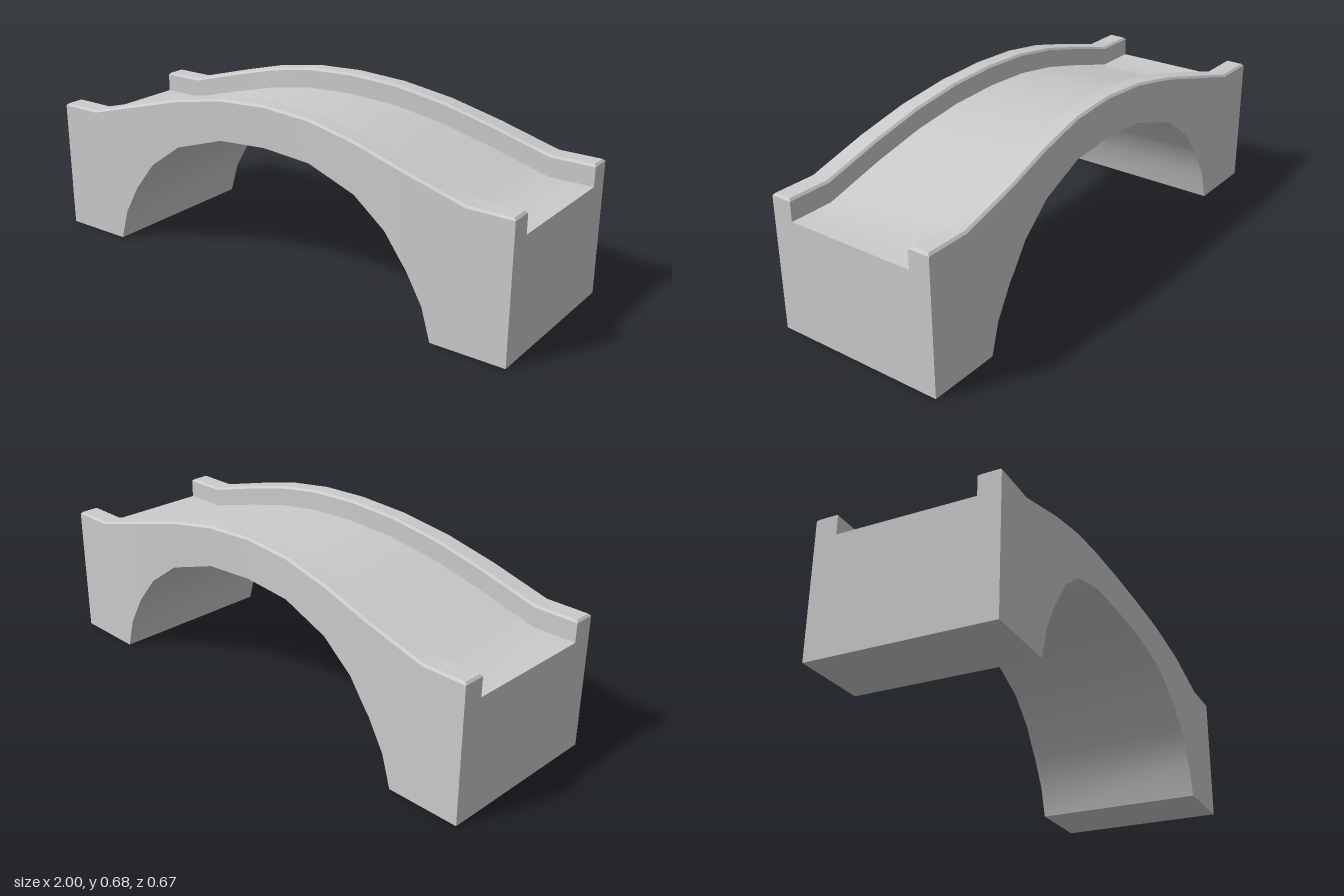
import * as THREE from 'three';
import { toCreasedNormals } from 'three/addons/utils/BufferGeometryUtils.js';

// Half profiles along the span: [distance from centre, value]
const RAIL_TOP = [[0, 0.676], [0.2, 0.665], [0.4, 0.63], [0.6, 0.577], [0.83, 0.513], [1, 0.513]];
const ARCH = [[0, 0.52], [0.2, 0.508], [0.4, 0.445], [0.53, 0.35], [0.62, 0.235], [0.685, 0.12], [0.72, 0], [1, 0]];
const OUTER = [[0, 0.302], [0.2, 0.307], [0.4, 0.322], [0.6, 0.335], [1, 0.335]];
const INNER = [[0, 0.23], [0.2, 0.234], [0.4, 0.244], [0.6, 0.253], [1, 0.253]];
const BEVEL = 0.008, RAIL_HEIGHT = 0.08;

function sample(table, x) {
  const d = Math.abs(x);
  for (let i = 1; i < table.length; i++) {
    const [x0, v0] = table[i - 1], [x1, v1] = table[i];
    if (d <= x1) return v0 + (v1 - v0) * (d - x0) / (x1 - x0);
  }
  return table[table.length - 1][1];
}

// One side of the cross-section, from the foot over the parapet to the deck
function halfSection(x, side) {
  const top = sample(RAIL_TOP, x), out = sample(OUTER, x), inn = sample(INNER, x);
  const b = Math.abs(x) === 1 ? 0 : BEVEL; // chamfer closes at the ends
  const shoulder = top - BEVEL;
  return [
    [out, sample(ARCH, x)], [out, shoulder], [out - b, shoulder + b],
    [inn + b, shoulder + b], [inn, shoulder], [inn, top - RAIL_HEIGHT],
  ].map(([z, y]) => new THREE.Vector3(x, y, z * side));
}

const half = [0.2, 0.4, 0.53, 0.6, 0.62, 0.685, 0.72, 0.83, 1 - BEVEL, 1];
const stations = [...half.map((x) => -x).reverse(), 0, ...half];
const sections = stations.map((x) => [...halfSection(x, 1), ...halfSection(x, -1).reverse()]);

function makeMesh(name, triangles, material) {
  const points = triangles.filter((t) => new THREE.Triangle(...t).getArea() > 1e-9).flat();
  const geometry = new THREE.BufferGeometry().setFromPoints(points);
  const mesh = new THREE.Mesh(toCreasedNormals(geometry, 0.5), material);
  mesh.name = name;
  return mesh;
}

// Surface swept along the span between section points first..last
function strip(first, last) {
  const triangles = [];
  for (let i = 0; i < sections.length - 1; i++) {
    for (let j = first; j < last; j++) {
      const k = (j + 1) % 12;
      const a = sections[i][j], b = sections[i][k];
      const c = sections[i + 1][j], d = sections[i + 1][k];
      triangles.push([a, c, b], [c, d, b]);
    }
  }
  return triangles;
}

// Flat end of the abutment, including the two parapet ends
function endFace(section, flip) {
  const triangles = [];
  for (const [a, b, c, d] of [[0, 1, 4, 5], [0, 5, 6, 11], [11, 6, 7, 10]]) {
    for (const t of [[a, b, c], [a, c, d]]) {
      if (flip) t.reverse();
      triangles.push(t.map((n) => section[n]));
    }
  }
  return triangles;
}

export function createModel() {
  const group = new THREE.Group();
  group.name = 'archBridge';
  const stone = new THREE.MeshStandardMaterial({ color: 0xcccccc, side: THREE.DoubleSide });
  group.add(
    makeMesh('frontWallAndParapet', strip(0, 5), stone),
    makeMesh('deck', strip(5, 6), stone),
    makeMesh('backWallAndParapet', strip(6, 11), stone),
    makeMesh('archUnderside', strip(11, 12), stone),
    makeMesh('rightEnd', endFace(sections[0], false), stone),
    makeMesh('leftEnd', endFace(sections[sections.length - 1], true), stone),
  );
  return group;
}
